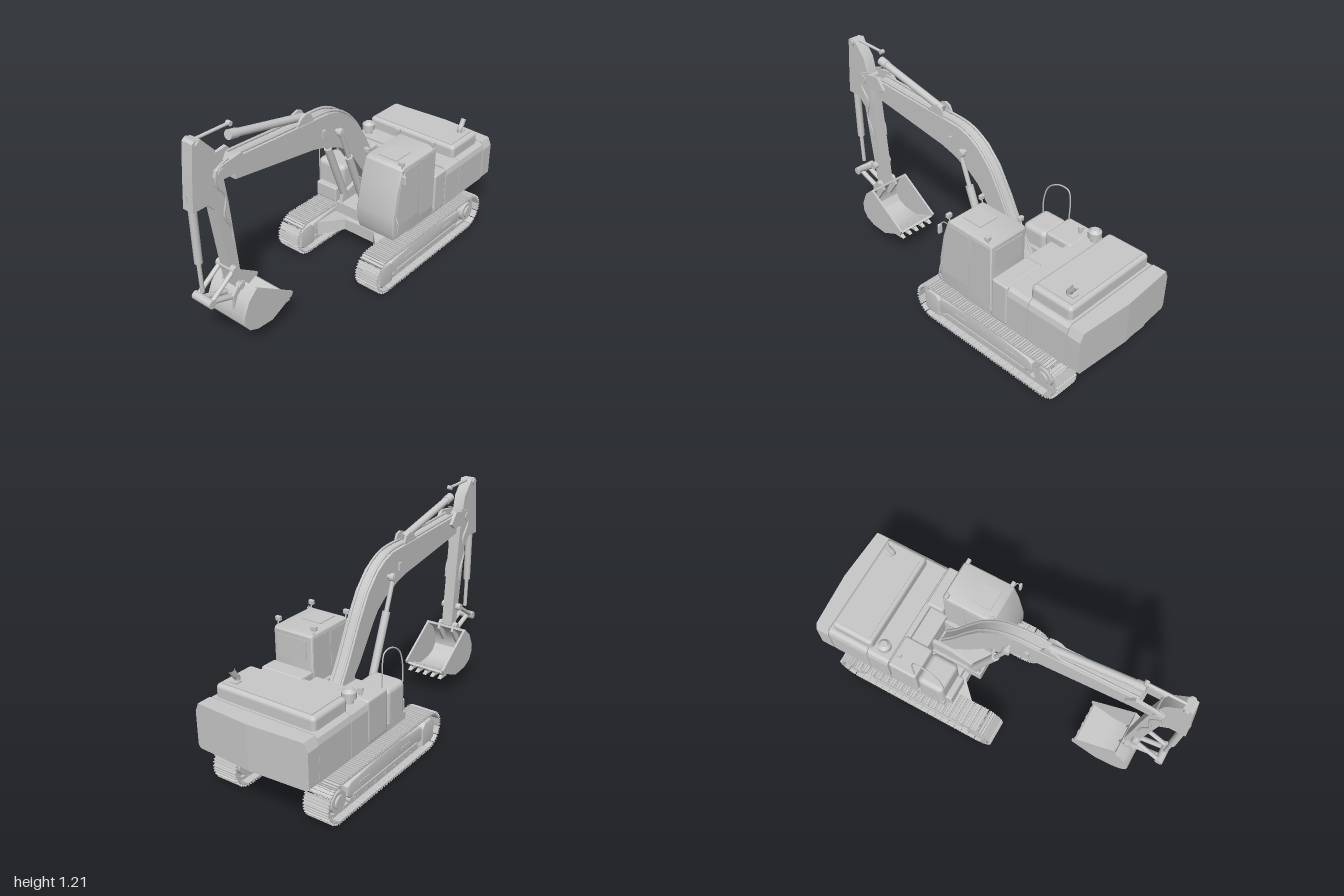
import * as THREE from 'three';
import { mergeGeometries, toCreasedNormals } from 'three/addons/utils/BufferGeometryUtils.js';
import { RoundedBoxGeometry } from 'three/addons/geometries/RoundedBoxGeometry.js';

const grey = new THREE.MeshStandardMaterial({ color: 0xc8c8c8 });
grey.name = 'plain grey';
const MID = -0.012; // z of the machine's centre plane
const V = (x, y, z) => new THREE.Vector3(x, y, z);

export function createModel() {
  const model = new THREE.Group();
  model.name = 'excavator';
  let target = model;

  const section = (name) => {
    target = new THREE.Group();
    target.name = name;
    model.add(target);
  };
  const add = (name, geo) => {
    const mesh = new THREE.Mesh(geo, grey);
    mesh.name = name;
    target.add(mesh);
    return mesh;
  };
  const boxGeo = (x0, x1, y0, y1, z0, z1, r = 0) => {
    const s = [x1 - x0, y1 - y0, z1 - z0];
    const g = r ? new RoundedBoxGeometry(...s, 2, r) : new THREE.BoxGeometry(...s);
    return g.translate((x0 + x1) / 2, (y0 + y1) / 2, (z0 + z1) / 2);
  };
  const box = (name, ...a) => add(name, boxGeo(...a));
  const shapeOf = (pts) => new THREE.Shape(pts.map((p) => new THREE.Vector2(p[0], p[1])));
  // side profile (x, y) extruded from z0 to z1
  const slab = (name, pts, z0, z1, bevel = 0) => {
    const g = new THREE.ExtrudeGeometry(shapeOf(pts), {
      depth: z1 - z0 - 2 * bevel, bevelEnabled: bevel > 0, bevelSize: bevel,
      bevelThickness: bevel, bevelOffset: -bevel, bevelSegments: 3,
    });
    return add(name, toCreasedNormals(g.translate(0, 0, z0 + bevel), 0.5));
  };
  // cross-section (z, y) extruded from x0 to x1
  const crossGeo = (pts, x0, x1) => new THREE.ExtrudeGeometry(
    shapeOf(pts.map(([z, y]) => [-z, y])), { depth: x1 - x0, bevelEnabled: false },
  ).rotateY(Math.PI / 2).translate(x0, 0, 0);
  const rod = (name, a, b, r, r2 = r) => {
    const d = b.clone().sub(a);
    const g = new THREE.CylinderGeometry(r2, r, d.length(), 18);
    g.applyQuaternion(new THREE.Quaternion().setFromUnitVectors(V(0, 1, 0), d.normalize()));
    return add(name, g.translate(...a.clone().add(b).multiplyScalar(0.5).toArray()));
  };
  const pin = (name, x, y, z, r, half) => rod(name, V(x, y, z - half), V(x, y, z + half), r);
  const tube = (name, pts, r) => add(name, new THREE.TubeGeometry(
    new THREE.CatmullRomCurve3(pts.map((p) => V(...p))), 40, r, 6));

  // ---- crawler tracks ----
  const XA = 0.005, XB = 0.775, CY = 0.108, R = 0.09;
  const straight = XB - XA, arc = Math.PI * R, loop = 2 * (straight + arc);
  const onLoop = (s) => {
    if (s < straight) return [XA + s, CY + R, 0];
    s -= straight;
    if (s < arc) return [XB + R * Math.sin(s / R), CY + R * Math.cos(s / R), -s / R];
    s -= arc;
    if (s < straight) return [XB - s, CY - R, Math.PI];
    s -= straight;
    return [XA - R * Math.sin(s / R), CY - R * Math.cos(s / R), Math.PI - s / R];
  };
  for (const [side, zc, out] of [['left', 0.269, 1], ['right', -0.284, -1]]) {
    section(side + 'Track');
    const parts = [], count = 48;
    for (let i = 0; i < count; i++) {
      const [x, y, a] = onLoop((i * loop) / count);
      const bits = [boxGeo(-0.021, 0.021, 0.001, 0.009, -0.071, 0.071)];
      for (const gx of [-0.017, 0, 0.015]) bits.push(boxGeo(gx - 0.002, gx + 0.003, 0.009, 0.018, -0.071, 0.071));
      for (const lz of [-0.025, 0.025]) bits.push(boxGeo(-0.019, 0.019, -0.018, 0.001, lz - 0.007, lz + 0.007));
      bits.forEach((g) => parts.push(g.rotateZ(a).translate(x, y, zc)));
    }
    add('trackShoes', mergeGeometries(parts));
    slab('trackFrame', [[0.04, 0.07], [0.68, 0.07], [0.7, 0.09], [0.7, 0.14], [0.67, 0.155],
      [0.45, 0.175], [0.26, 0.175], [0.06, 0.155], [0.04, 0.14]], zc - 0.05, zc + 0.05, 0.008);
    box('frameLedge', 0.1, 0.66, 0.066, 0.085, zc - 0.056, zc + 0.056);
    slab('idlerGuard', [[-0.055, 0.05], [-0.03, 0.035], [0.055, 0.035], [0.055, 0.14], [0.03, 0.165],
      [-0.03, 0.165], [-0.055, 0.145]], zc - 0.058, zc + 0.058, 0.006);
    pin('idlerWheel', XA, CY, zc, 0.073, 0.02);
    pin('sprocket', XB, CY, zc, 0.073, 0.02);
    pin('driveHousing', XB, CY, zc, 0.055, 0.055);
    pin('driveCover', XB, CY, zc + out * 0.03, 0.035, 0.035);
    for (let i = 0; i < 8; i++) pin('bottomRoller', 0.1 + i * 0.08, 0.052, zc, 0.019, 0.045);
    for (const x of [0.2, 0.53]) pin('carrierRoller', x, 0.172, zc, 0.014, 0.04);
    for (const x of [0.21, 0.57]) box('frameSlot', x - 0.04, x + 0.04, 0.11, 0.125, zc - 0.053, zc + 0.053);
  }

  // ---- car body with four legs, arched underneath ----
  section('undercarriage');
  const half = [[0.08, 0.21], [0.23, 0.21], [0.31, 0.12], [0.41, 0.12], [0.49, 0.21], [0.64, 0.21], [0.53, 0.1]];
  const plan = [[0.19, 0.1], ...half, ...half.slice().reverse().map(([x, z]) => [x, -z]), [0.19, -0.1]];
  const carBody = new THREE.ExtrudeGeometry(shapeOf(plan.map(([x, z]) => [x, -z])), { depth: 1, bevelEnabled: false });
  carBody.rotateX(-Math.PI / 2);
  const cp = carBody.attributes.position;
  for (let i = 0; i < cp.count; i++) {
    const far = Math.max(0, Math.abs(cp.getZ(i)) - 0.1) / 0.11;
    cp.setY(i, cp.getY(i) > 0.5 ? 0.168 - 0.012 * far : 0.1 - 0.032 * far);
  }
  carBody.computeVertexNormals();
  add('carBody', carBody.translate(0, 0, MID));
  rod('swivelColumn', V(0.355, 0.15, MID), V(0.355, 0.225, MID), 0.088);
  rod('slewRing', V(0.355, 0.218, MID), V(0.355, 0.245, MID), 0.105);
  rod('slewRingTop', V(0.355, 0.245, MID), V(0.355, 0.275, MID), 0.118);
  for (let i = 0; i < 24; i++) {
    const a = (i * Math.PI) / 12, x = 0.355 + 0.11 * Math.cos(a), z = MID + 0.11 * Math.sin(a);
    rod('ringBolt', V(x, 0.235, z), V(x, 0.248, z), 0.005);
  }

  // ---- upper body ----
  section('upperBody');
  box('deck', 0.2, 0.91, 0.27, 0.31, -0.325, 0.315);
  box('boomMount', 0.1, 0.42, 0.275, 0.34, -0.1, 0.07);
  for (const z of [-0.077, 0.053]) slab('boomBracket', [[0.1, 0.3], [0.12, 0.39], [0.18, 0.4], [0.3, 0.44], [0.42, 0.44], [0.42, 0.3]], z - 0.01, z + 0.01);
  const bodySection = [[-0.33, 0.275], [0.32, 0.275], [0.32, 0.465], [0.312, 0.495], [0.295, 0.51], [-0.305, 0.51], [-0.322, 0.495], [-0.33, 0.465]];
  for (const [a, b] of [[0.53, 0.657], [0.661, 0.898]]) add('engineHouse', crossGeo(bodySection, a, b));
  box('seamFiller', 0.5, 0.91, 0.29, 0.5, -0.31, 0.3);
  box('sideCompartment', 0.424, 0.526, 0.275, 0.51, 0.07, 0.32, 0.012);
  box('houseFrontStep', 0.4, 0.53, 0.3, 0.47, -0.14, 0.07);
  box('fuelTank', 0.36, 0.527, 0.275, 0.51, -0.328, -0.14, 0.014);
  box('toolBox', 0.2, 0.357, 0.275, 0.49, -0.325, -0.14, 0.03);
  box('boardingStep', 0.165, 0.22, 0.275, 0.36, -0.3, -0.16, 0.008);
  box('engineHood', 0.64, 0.885, 0.48, 0.578, -0.297, 0.283, 0.022);
  box('hoodPanel', 0.66, 0.865, 0.576, 0.582, -0.27, 0.255);
  box('hoodLatch', 0.805, 0.845, 0.58, 0.588, 0.185, 0.225);

  // two counterweight halves, bulging towards the centre line
  for (const s of [1, -1]) {
    const g = crossGeo([[0, 0.27], [0.315, 0.27], [0.328, 0.285], [0.328, 0.465], [0.308, 0.51], [0, 0.51]]
      .map(([z, y]) => [MID + 0.007 + s * z, y]), 0.903, 0.978);
    const p = g.attributes.position;
    for (let i = 0; i < p.count; i++) {
      if (p.getX(i) > 0.95) p.setX(i, 0.978 + 0.02 * (1 - Math.abs(p.getZ(i) - MID - 0.007) / 0.33));
    }
    g.computeVertexNormals();
    add('counterweight', g);
  }

  // exhaust, air cleaner, filler cap and handrail
  tube('exhaust', [[0.81, 0.57, 0.21], [0.812, 0.6, 0.21], [0.828, 0.622, 0.21], [0.845, 0.652, 0.21]], 0.016);
  rod('airCleanerNeck', V(0.58, 0.505, -0.26), V(0.58, 0.54, -0.26), 0.022);
  rod('airCleaner', V(0.58, 0.535, -0.26), V(0.58, 0.568, -0.26), 0.036);
  rod('airCleanerCap', V(0.58, 0.568, -0.26), V(0.58, 0.582, -0.26), 0.034, 0.018);
  rod('fillerNeck', V(0.49, 0.505, -0.26), V(0.49, 0.53, -0.26), 0.009);
  rod('fillerCap', V(0.49, 0.53, -0.26), V(0.49, 0.548, -0.26), 0.014);
  tube('handrail', [[0.2, 0.42, -0.305], [0.2, 0.56, -0.305], [0.23, 0.645, -0.305], [0.3, 0.69, -0.305], [0.36, 0.685, -0.305], [0.375, 0.64, -0.305], [0.375, 0.5, -0.305]], 0.004);

  // ---- cab ----
  section('cab');
  slab('cabShell', [[0.075, 0.278], [0.42, 0.278], [0.42, 0.68], [0.41, 0.695], [0.135, 0.695], [0.118, 0.68],
    [0.085, 0.58], [0.055, 0.42], [0.055, 0.33]], 0.077, 0.318, 0.014);
  for (const z of [0.076, 0.317]) {
    slab('sideWindow', [[0.085, 0.36], [0.27, 0.36], [0.27, 0.67], [0.14, 0.67], [0.105, 0.575], [0.08, 0.43]], z - 0.001, z + 0.003);
    box('doorPanel', 0.287, 0.41, 0.33, 0.675, z - 0.001, z + 0.003);
  }
  box('roofHatch', 0.16, 0.28, 0.692, 0.7, 0.13, 0.25);
  box('rearWindow', 0.418, 0.423, 0.54, 0.66, 0.11, 0.29);
  for (const [x, y] of [[0.125, 0.715], [0.39, 0.718]]) for (const z of [0.085, 0.308]) {
    rod('lampStem', V(x + 0.008, 0.68, z), V(x, y, z), 0.004);
    box('workLamp', x - 0.01, x + 0.01, y - 0.007, y + 0.018, z - 0.015, z + 0.015, 0.004);
  }
  tube('mirrorArm', [[0.13, 0.66, 0.31], [0.115, 0.69, 0.335], [0.1, 0.67, 0.345]], 0.003);
  box('mirror', 0.092, 0.106, 0.62, 0.675, 0.333, 0.358, 0.006);
  tube('doorRail', [[0.075, 0.3, 0.318], [0.072, 0.32, 0.332], [0.078, 0.39, 0.332], [0.08, 0.42, 0.318]], 0.004);

  // ---- boom ----
  section('boom');
  const topEdge = [[-0.72, 1.035], [-0.3, 1.01], [-0.1, 1.0], [-0.03, 0.978], [0.04, 0.935], [0.12, 0.85], [0.2, 0.715], [0.3, 0.52], [0.375, 0.4]];
  const lowEdge = [[0.33, 0.35], [0.2, 0.5], [0.08, 0.68], [0.04, 0.73], [-0.02, 0.775], [-0.13, 0.825], [-0.22, 0.85], [-0.74, 0.93], [-0.74, 1.0]];
  slab('boomBeam', [...topEdge, ...lowEdge], MID - 0.04, MID + 0.04);
  for (const s of [1, -1]) {
    const z = MID + s * 0.046;
    slab('boomFork', [[-0.87, 1.0], [-0.84, 0.975], [-0.7, 0.97], [-0.66, 1.0], [-0.71, 1.06], [-0.82, 1.045], [-0.86, 1.03]], z - 0.009, z + 0.009);
    tube('boomHose', [...topEdge.map(([x, y]) => [x, y + 0.008, MID + s * 0.025])], 0.007);
    // boom lift cylinders
    const c = MID + s * 0.07;
    rod('liftBarrel', V(0.15, 0.36, c), V(0.01, 0.72, c), 0.021);
    rod('liftRod', V(0.01, 0.72, c), V(-0.05, 0.88, c), 0.012);
    pin('liftEye', -0.05, 0.885, c, 0.022, 0.012);
    pin('liftFootEye', 0.15, 0.36, c, 0.026, 0.014);
    slab('stickCylinderBracket', [[-0.34, 1.0], [-0.2, 0.99], [-0.23, 1.05], [-0.26, 1.06], [-0.29, 1.05]], MID + s * 0.028 - 0.006, MID + s * 0.028 + 0.006);
    box('pipeClamp', -0.16, -0.14, 0.89, 0.93, z - 0.006, z + 0.006);
  }
  pin('liftPin', -0.05, 0.885, MID, 0.012, 0.085);
  pin('boomTipPin', -0.83, 1.01, MID, 0.024, 0.06);
  rod('stickCylinderBarrel', V(-0.25, 1.03, MID), V(-0.71, 1.132, MID), 0.02);
  rod('stickCylinderCollar', V(-0.68, 1.125, MID), V(-0.73, 1.136, MID), 0.024);

  // ---- stick with bucket cylinder and linkage ----
  section('stick');
  slab('stickBeam', [[-0.96, 1.195], [-0.945, 1.205], [-0.91, 1.2], [-0.84, 1.12], [-0.805, 0.98], [-0.785, 0.84],
    [-0.738, 0.36], [-0.765, 0.34], [-0.795, 0.365], [-0.86, 0.82], [-0.905, 0.87], [-0.99, 0.87], [-0.975, 1.05]], MID - 0.032, MID + 0.032);
  rod('stickCylinderRod', V(-0.92, 1.195, MID), V(-0.72, 1.19, MID), 0.008);
  pin('rodEnd', -0.72, 1.19, MID, 0.012, 0.012);
  pin('rodPin', -0.93, 1.185, MID, 0.016, 0.042);
  rod('bucketBarrel', V(-0.968, 0.95, MID), V(-0.962, 0.58, MID), 0.02);
  rod('bucketRod', V(-0.962, 0.58, MID), V(-0.955, 0.41, MID), 0.011);
  pin('bucketRodPin', -0.952, 0.36, MID, 0.022, 0.06);
  for (const s of [1, -1]) {
    const z = MID + s * 0.045;
    rod('rockerLink', V(-0.952, 0.36, z), V(-0.795, 0.465, z), 0.012);
    rod('pushLink', V(-0.952, 0.36, z * 0.6), V(-0.79, 0.3, z * 0.6), 0.014);
    tube('stickHose', [[-0.78, 1.06, z], [-0.85, 1.03, z], [-0.86, 0.96, z], [-0.81, 0.88, z], [-0.825, 0.78, z], [-0.79, 0.7, z], [-0.785, 0.64, z]], 0.006);
  }
  pin('rockerPin', -0.795, 0.465, MID, 0.02, 0.06);

  // ---- bucket: curved shell, two cheeks, ears and teeth ----
  section('bucket');
  const outer = [[-0.735, 0.36], [-0.79, 0.31], [-0.825, 0.23], [-0.822, 0.18], [-0.795, 0.14], [-0.74, 0.115], [-0.64, 0.107], [-0.5, 0.17]];
  const inner = outer.map(([x, y]) => [-0.66 + (x + 0.66) * 0.93, 0.235 + (y - 0.235) * 0.9]).reverse();
  slab('bucketShell', [...outer, ...inner], -0.13, 0.105);
  for (const z of [-0.134, 0.11]) slab('bucketCheek', [...outer, [-0.49, 0.19]], z - 0.006, z + 0.006);
  for (const s of [1, -1]) slab('bucketEar', [[-0.82, 0.24], [-0.815, 0.32], [-0.77, 0.375], [-0.735, 0.365], [-0.72, 0.33], [-0.78, 0.24]], MID + s * 0.045 - 0.007, MID + s * 0.045 + 0.007);
  pin('bucketPin', -0.763, 0.355, MID, 0.018, 0.06);
  for (let i = 0; i < 5; i++) {
    const z = MID - 0.1 + i * 0.05;
    slab('tooth', [[-0.57, 0.155], [-0.56, 0.13], [-0.495, 0.132], [-0.52, 0.147], [-0.505, 0.172]], z - 0.011, z + 0.011);
  }
  return model;
}
